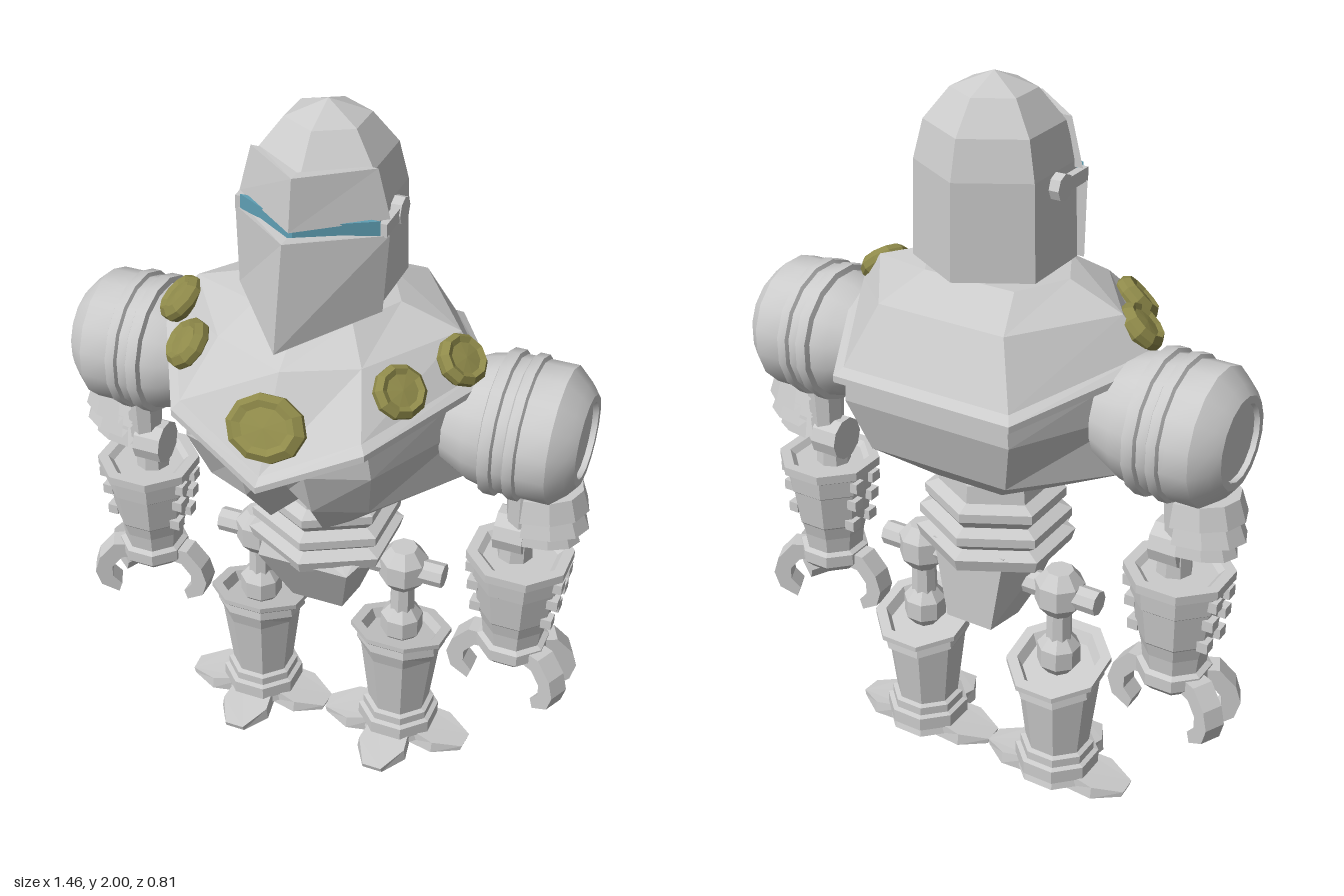
import * as THREE from 'three';
import { toCreasedNormals } from 'three/addons/utils/BufferGeometryUtils.js';

const metal = new THREE.MeshStandardMaterial({ color: 0xcccccc, flatShading: true, side: THREE.DoubleSide });
const smoothMetal = new THREE.MeshStandardMaterial({ color: 0xcccccc });
const brass = new THREE.MeshStandardMaterial({ color: 0x8f8a4a, flatShading: true });
const glass = new THREE.MeshStandardMaterial({ color: 0x5f9fb4, flatShading: true });

// Mirrors half a ring (front to back along +x) into a closed ring
const sym = (half) => [...half, ...half.filter((p) => p[0] > 0).reverse().map(([x, y, z]) => [-x, y, z])];
// Hexagonal ring with a corner pointing forward
const hex = (y, r, cz, k = 0.88) => sym([[0, y, cz + r], [k * r, y, cz + r / 2], [k * r, y, cz - r / 2], [0, y, cz - r]]);
// V-shaped plate ring, pointing forward
const vee = (y, yFront, x, zSide, zFront, t = 0.025) =>
  sym([[0, yFront, zFront], [x, y, zSide], [x - t, y, zSide], [0, yFront, zFront - t * 1.4]]);

// Skins rings of equal length from bottom to top and caps both ends
function loft(rings) {
  const n = rings[0].length, index = [], last = (rings.length - 1) * n;
  for (let i = 0; i < rings.length - 1; i++) {
    for (let j = 0; j < n; j++) {
      const a = i * n + j, b = i * n + (j + 1) % n;
      index.push(a, b, b + n, a, b + n, a + n);
    }
  }
  for (let j = 1; j < n - 1; j++) {
    index.push(0, j + 1, j, last, last + j, last + j + 1);
  }
  const g = new THREE.BufferGeometry();
  g.setAttribute('position', new THREE.Float32BufferAttribute(rings.flat(2), 3));
  g.setIndex(index);
  g.computeVertexNormals();
  return g;
}

function add(parent, name, geometry, pos = [0, 0, 0], material = metal) {
  const mesh = new THREE.Mesh(geometry, material);
  mesh.name = name;
  mesh.position.set(...pos);
  parent.add(mesh);
  return mesh;
}

const lathe = (pts, n) =>
  new THREE.LatheGeometry(pts.map(([r, y]) => new THREE.Vector2(r, y)), n, Math.PI / n);

function buildHead(g) {
  add(g, 'neck', new THREE.CylinderGeometry(0.13, 0.13, 0.08, 10), [0, 1.52, -0.03]);
  add(g, 'helmet', loft([[1.53, 0.202], [1.78, 0.195], [1.88, 0.17], [1.96, 0.105], [2, 0.002]].map(([y, r]) => hex(y, r, -0.06))));
  add(g, 'brow', loft([vee(1.765, 1.765, 0.195, 0.03, 0.185), vee(1.89, 1.895, 0.162, 0.03, 0.165)]));
  add(g, 'eyeSlit', loft([vee(1.715, 1.715, 0.181, 0.058, 0.163), vee(1.77, 1.77, 0.181, 0.058, 0.163)]), [0, 0, 0], glass);
  add(g, 'visor', loft([vee(1.525, 1.487, 0.19, 0.055, 0.28), vee(1.73, 1.755, 0.2, 0.045, 0.225)]));
  for (const s of [1, -1]) {
    add(g, 'visorArm', new THREE.BoxGeometry(0.02, 0.035, 0.11), [s * 0.186, 1.745, 0.0]);
    add(g, 'visorHinge', new THREE.CylinderGeometry(0.035, 0.035, 0.035, 8).rotateZ(Math.PI / 2), [s * 0.182, 1.745, -0.06]);
  }
}

function buildTorso(g) {
  // Upper shell with its overhanging rim
  const rim = [[0, 1.16, 0.405], [0.255, 1.28, 0.335], [0.455, 1.325, -0.04], [0.255, 1.258, -0.41]];
  const scaled = (k, dy) => rim.map(([x, y, z]) => [x * k, y + dy, z * k]);
  add(g, 'chestShell', loft([
    sym(scaled(0.92, 0.01)), sym(rim), sym(scaled(1, 0.018)), sym(scaled(0.94, 0.035)),
    sym([[0, 1.42, 0.25], [0.19, 1.44, 0.19], [0.36, 1.45, -0.05], [0.18, 1.45, -0.31]]),
    sym([[0, 1.505, 0.13], [0.13, 1.505, 0.1], [0.205, 1.505, -0.04], [0.13, 1.505, -0.18]]),
  ]));
  // Belly with a recessed centre at the front
  add(g, 'belly', loft([
    sym([[0, 0.93, 0.08], [0.075, 0.885, 0.15], [0.13, 0.89, 0.1], [0.16, 0.9, -0.05], [0.1, 0.93, -0.19]]),
    sym([[0, 1.03, 0.2], [0.09, 1.03, 0.265], [0.22, 1.02, 0.2], [0.4, 1.02, -0.05], [0.2, 1.05, -0.335]]),
    sym([[0, 1.17, 0.3], [0.09, 1.17, 0.315], [0.25, 1.18, 0.27], [0.41, 1.19, -0.04], [0.24, 1.2, -0.385]]),
    sym([[0, 1.24, 0.29], [0.09, 1.25, 0.3], [0.24, 1.28, 0.28], [0.41, 1.32, -0.04], [0.235, 1.27, -0.385]]),
  ]));
  // Brass studs lying on the sloping shell
  const stud = (p, normal, r, wide) => {
    const geo = lathe([[0, -0.03], [r * 0.85, -0.03], [r, -0.012], [r, 0.005], [r * 0.8, 0.022], [r * 0.6, 0.014], [0, 0.018]], 10);
    const m = add(g, 'chestStud', geo.scale(wide, 1, 1), p, brass);
    m.quaternion.setFromUnitVectors(new THREE.Vector3(0, 1, 0), new THREE.Vector3(...normal).normalize());
  };
  stud([0, 1.31, 0.335], [0, 0.55, 0.83], 0.085, 1.23);
  for (const s of [1, -1]) {
    stud([s * 0.285, 1.39, 0.175], [s * 0.56, 0.68, 0.46], 0.069, 1);
    stud([s * 0.385, 1.405, 0.005], [s * 0.62, 0.72, 0.28], 0.069, 1);
  }
  // Ribbed waist and pelvis
  const ribs = [[0.69, 0.16], [0.7, 0.195], [0.735, 0.205], [0.75, 0.165], [0.775, 0.195], [0.8, 0.195],
    [0.815, 0.16], [0.84, 0.18], [0.865, 0.18], [0.88, 0.145], [0.93, 0.14]];
  add(g, 'waist', loft(ribs.map(([y, r]) => hex(y, r, -0.06, 0.93))));
  add(g, 'pelvis', loft([
    sym([[0.075, 0.5, 0.01], [0.09, 0.5, -0.09], [0.07, 0.5, -0.2]]),
    sym([[0.13, 0.71, 0.12], [0.17, 0.71, -0.04], [0.11, 0.74, -0.2]]),
  ]));
}

// Arm along +x; the other side is the same arm turned half round
function buildArm() {
  const g = new THREE.Group();
  const shoulder = lathe([[0, 0.34], [0.13, 0.35], [0.165, 0.42], [0.175, 0.465], [0.19, 0.47], [0.19, 0.5], [0.18, 0.505],
    [0.18, 0.53], [0.19, 0.535], [0.19, 0.56], [0.18, 0.565], [0.18, 0.64], [0.145, 0.68], [0.12, 0.7], [0.1, 0.7],
    [0.1, 0.685], [0, 0.685]], 16).rotateZ(-Math.PI / 2);
  add(g, 'shoulder', toCreasedNormals(shoulder, 0.5), [0, 1.2, 0], smoothMetal);
  add(g, 'upperArm', new THREE.CylinderGeometry(0.055, 0.045, 0.2, 8), [0.555, 0.98, 0]);
  // Overlapping plates on the outside of the upper arm
  for (const [y, top, bottom, k] of [[1.015, 0.13, 0.15, 0.8], [0.958, 0.13, 0.155, 0.68], [0.908, 0.115, 0.135, 0.58]]) {
    const lame = new THREE.CylinderGeometry(top, bottom, 0.06, 6, 1, false, 0, Math.PI);
    add(g, 'armPlate', lame.scale(1, 1, k), [0.575, y, 0]);
  }
  add(g, 'elbow', new THREE.CylinderGeometry(0.062, 0.062, 0.08, 10).rotateZ(Math.PI / 2), [0.53, 0.865, 0]);
  add(g, 'elbowRod', new THREE.CylinderGeometry(0.045, 0.05, 0.1, 8), [0.54, 0.81, 0]);
  add(g, 'forearm', lathe([[0, 0.49], [0.082, 0.49], [0.09, 0.56], [0.1, 0.6], [0.104, 0.605], [0.118, 0.71], [0.124, 0.715],
    [0.128, 0.765], [0.145, 0.775], [0.145, 0.8], [0.115, 0.8], [0.1, 0.785], [0, 0.785]], 8), [0.555, 0, 0]);
  add(g, 'wrist', lathe([[0, 0.445], [0.075, 0.445], [0.1, 0.47], [0.1, 0.505], [0.08, 0.515], [0, 0.515]], 8), [0.555, 0, 0]);
  for (const [y, r] of [[0.745, 0.118], [0.685, 0.111], [0.615, 0.1]]) {
    for (const s of [1, -1]) {
      for (const z of [0.038, -0.038]) {
        add(g, 'forearmStud', new THREE.BoxGeometry(0.03, 0.03, 0.035), [0.555 + s * r, y, z]);
      }
    }
  }
  // Hooked fingers: two outside, one thumb inside
  const hook = [[0.04, 0.5], [0.12, 0.5], [0.165, 0.45], [0.18, 0.4], [0.165, 0.35], [0.115, 0.32], [0.105, 0.35],
    [0.13, 0.38], [0.13, 0.415], [0.1, 0.45], [0.04, 0.455]];
  for (const [name, angle] of [['finger', 0.45], ['finger', -0.45], ['thumb', Math.PI]]) {
    const shape = new THREE.Shape(hook.map(([x, y]) => new THREE.Vector2(x, y)));
    const geo = new THREE.ExtrudeGeometry(shape, { depth: 0.06, bevelEnabled: false });
    add(g, name, geo.translate(0, 0, -0.03), [0.555, 0, 0]).rotation.y = angle;
  }
  return g;
}

function buildLeg() {
  const g = new THREE.Group();
  const ball = (r) => lathe([[0, -r], [r * 0.55, -r], [r, -r * 0.45], [r, r * 0.45], [r * 0.55, r], [0, r]], 8);
  add(g, 'hipBall', ball(0.068), [0, 0.62, 0]);
  add(g, 'hipPin', new THREE.CylinderGeometry(0.035, 0.035, 0.24, 8).rotateZ(Math.PI / 2), [0, 0.62, 0]);
  add(g, 'thigh', new THREE.CylinderGeometry(0.034, 0.038, 0.2, 8), [0, 0.5, 0]);
  add(g, 'knee', ball(0.06), [0, 0.42, 0]);
  // Shin whose collar rises towards the front
  const shin = lathe([[0, 0.05], [0.118, 0.05], [0.118, 0.09], [0.104, 0.095], [0.104, 0.12], [0.09, 0.125], [0.115, 0.33],
    [0.128, 0.345], [0.124, 0.37], [0.145, 0.385], [0.145, 0.4], [0.115, 0.4], [0.1, 0.37], [0, 0.37]], 8);
  const p = shin.attributes.position;
  for (let i = 0; i < p.count; i++) {
    if (p.getY(i) > 0.34) p.setY(i, p.getY(i) + 0.26 * p.getZ(i));
  }
  add(g, 'shin', shin);
  add(g, 'foot', lathe([[0, 0], [0.07, 0], [0.115, 0.025], [0.105, 0.06], [0, 0.06]], 8));
  // Three flat pointed toes
  const toe = loft([
    sym([[0.03, 0.012, 0.215], [0.075, 0.01, 0.14], [0.055, 0.005, 0.03]]),
    sym([[0.028, 0.028, 0.22], [0.07, 0.045, 0.14], [0.055, 0.065, 0.03]]),
  ]);
  for (const a of [-1.5, 0, 1.5]) add(g, 'toe', toe).rotation.y = a;
  return g;
}

export function createModel() {
  const model = new THREE.Group();
  model.name = 'armouredRobot';
  const head = new THREE.Group(), torso = new THREE.Group();
  head.name = 'head';
  torso.name = 'torso';
  buildHead(head);
  buildTorso(torso);
  model.add(head, torso);
  for (const s of [1, -1]) {
    const arm = buildArm(), leg = buildLeg();
    arm.name = s > 0 ? 'leftArm' : 'rightArm';
    leg.name = s > 0 ? 'leftLeg' : 'rightLeg';
    arm.position.z = -0.065;
    arm.rotation.y = s > 0 ? 0 : Math.PI;
    leg.position.set(s * 0.22, 0, -0.09);
    model.add(arm, leg);
  }
  return model;
}
